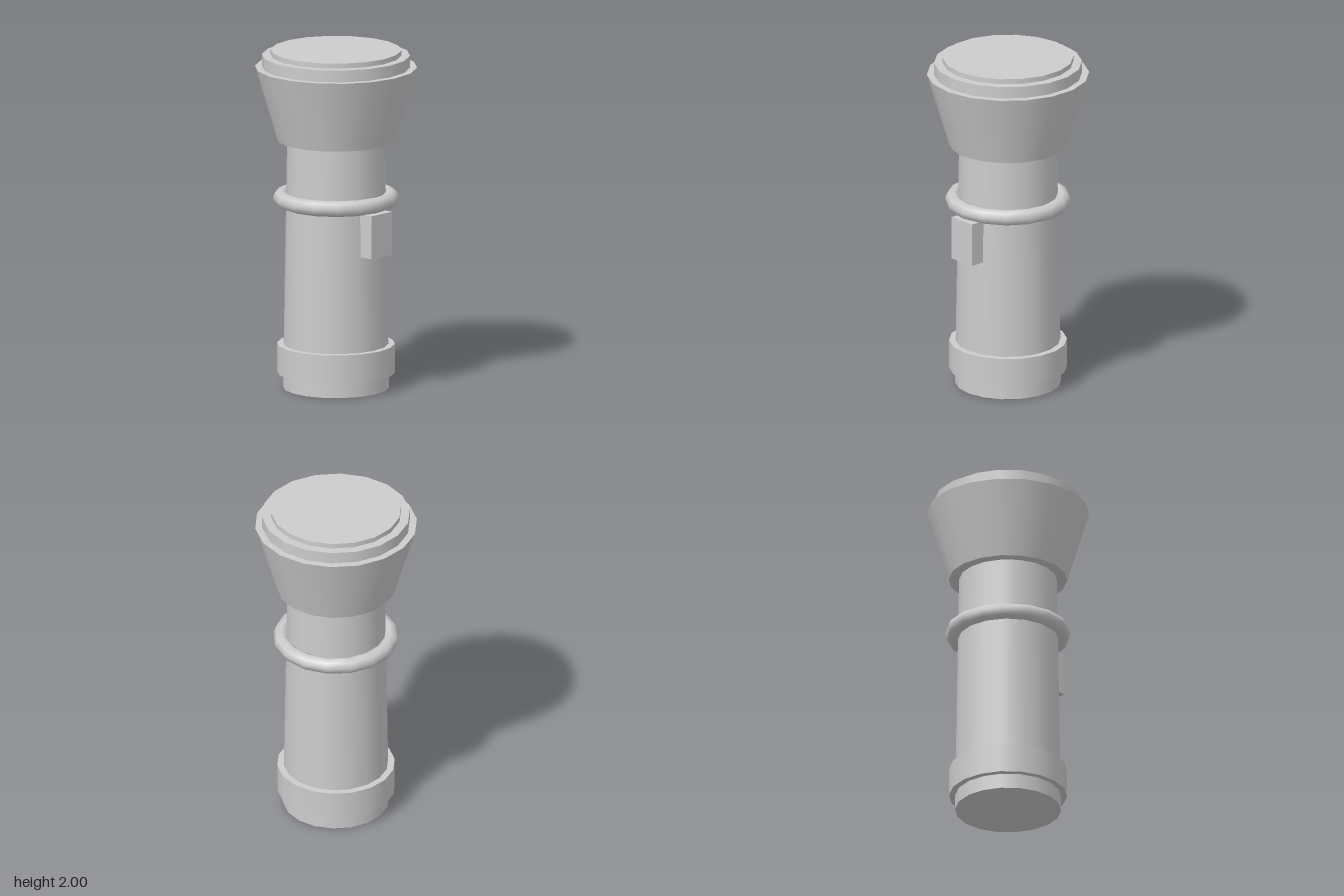
import * as THREE from 'three';

const SIDES = 18;

export function createModel() {
  const group = new THREE.Group();
  const grey = new THREE.MeshStandardMaterial({ color: 0xcccccc });
  grey.name = 'light grey';

  function add(name, geometry, x = 0, y = 0, z = 0) {
    const mesh = new THREE.Mesh(geometry, grey);
    mesh.name = name;
    mesh.position.set(x, y, z);
    group.add(mesh);
    return mesh;
  }

  // Round part between two heights
  function drum(name, rBottom, rTop, y0, y1) {
    return add(name, new THREE.CylinderGeometry(rTop, rBottom, y1 - y0, SIDES), 0, (y0 + y1) / 2, 0);
  }

  drum('handle', 0.308, 0.284, 0, 1.475);
  drum('endCapBand', 0.342, 0.342, 0.09, 0.26);
  drum('head', 0.344, 0.471, 1.47, 1.9);
  drum('bezel', 0.43, 0.43, 1.89, 1.97);
  drum('lens', 0.379, 0.379, 1.96, 2);

  // Grip ring around the handle
  const ring = add('gripRing', new THREE.TorusGeometry(0.319, 0.047, 8, 16), 0, 1.124, 0);
  ring.rotation.x = Math.PI / 2;

  // Switch block on the front
  add('switch', new THREE.BoxGeometry(0.174, 0.255, 0.115), 0, 0.9525, 0.3075);

  return group;
}
